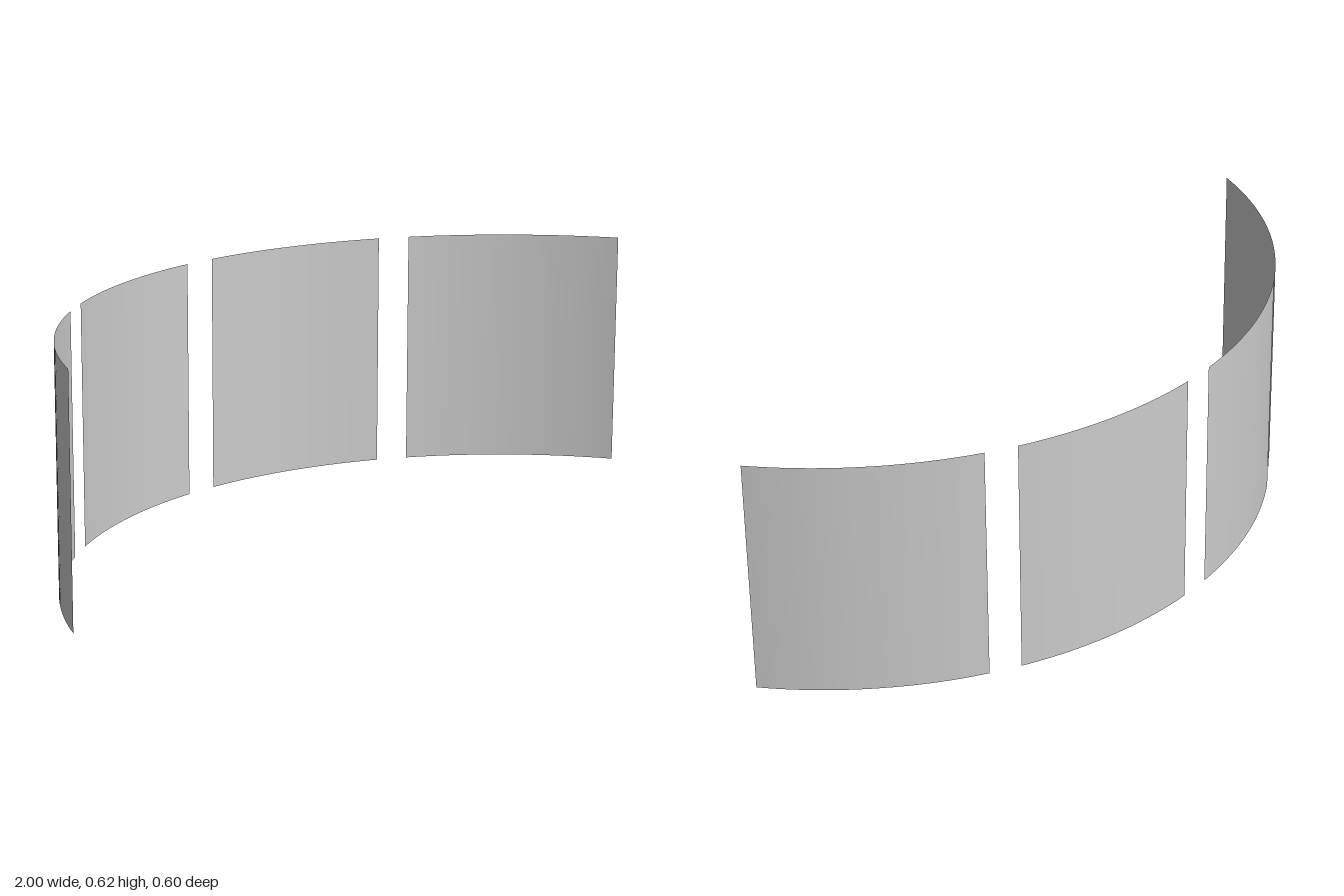
import * as THREE from 'three';

const RADIUS = 1.134;
const HEIGHT = 0.622;
const CENTRE_Z = 0.834;

export function createModel() {
  const group = new THREE.Group();
  group.name = 'curvedPanelScreen';
  const material = new THREE.MeshStandardMaterial({ color: 0xcccccc, side: THREE.DoubleSide });

  // One thin upright panel, spanning two angles measured from the back of the arc
  function addPanel(name, from, to) {
    const start = Math.PI + THREE.MathUtils.degToRad(from);
    const sweep = THREE.MathUtils.degToRad(to - from);
    const geometry = new THREE.CylinderGeometry(RADIUS, RADIUS, HEIGHT, 24, 1, true, start, sweep);
    const panel = new THREE.Mesh(geometry, material);
    panel.name = name;
    panel.position.set(0, HEIGHT / 2, CENTRE_Z);
    group.add(panel);
  }

  // Mirrored inner and outer panels, with narrow gaps between them
  for (const [part, a, b] of [['Inner', 2.25, 28.65], ['Outer', 32.9, 61.87]]) {
    addPanel('left' + part + 'Panel', -b, -a);
    addPanel('right' + part + 'Panel', a, b);
  }
  return group;
}
